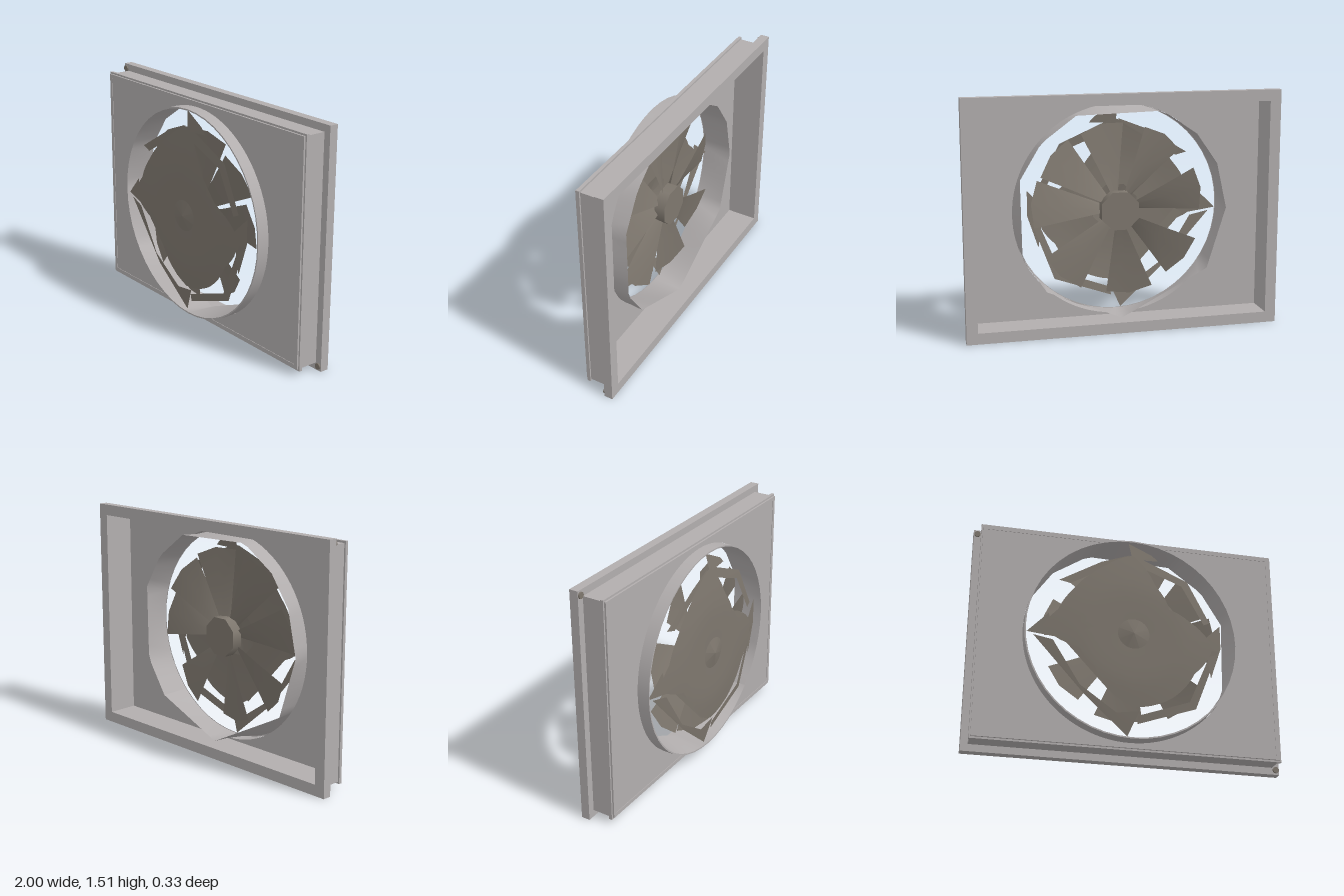
import * as THREE from 'three';

const CY = 0.755; // height of the fan axis
const frameGrey = new THREE.MeshStandardMaterial({ color: 0xb2aeae, side: THREE.DoubleSide });
frameGrey.name = 'frame grey';
const fanBrown = new THREE.MeshStandardMaterial({ color: 0x7e776e, side: THREE.DoubleSide });
fanBrown.name = 'fan brown grey';

const rad = (d) => (d * Math.PI) / 180;

function add(parent, name, geometry, material) {
  const mesh = new THREE.Mesh(geometry, material);
  mesh.name = name;
  parent.add(mesh);
  return mesh;
}

function rectPath(Type, w, h) {
  return new Type([[-w, -h], [w, -h], [w, h], [-w, h]].map(([x, y]) => new THREE.Vector2(x, y)));
}

// Rectangular frame with a rectangular opening, half sizes, from z0 to z1
function rectFrame(w, h, iw, ih, z0, z1) {
  const shape = rectPath(THREE.Shape, w, h);
  shape.holes.push(rectPath(THREE.Path, iw, ih));
  return new THREE.ExtrudeGeometry(shape, { depth: z1 - z0, bevelEnabled: false }).translate(0, 0, z0);
}

// Grid of points [row][column] turned into a surface
function surface(rows) {
  const n = rows[0].length;
  const index = [];
  for (let i = 0; i < rows.length - 1; i++) {
    for (let j = 0; j < n - 1; j++) {
      const a = i * n + j, b = a + n;
      index.push(a, b, b + 1, a, b + 1, a + 1);
    }
  }
  const g = new THREE.BufferGeometry();
  g.setAttribute('position', new THREE.Float32BufferAttribute(rows.flat(2), 3));
  g.setIndex(index);
  g.computeVertexNormals();
  return g;
}

// Linear interpolation in a table of [angle, radius]
function lookup(table, deg) {
  for (let i = 0; i < table.length - 1; i++) {
    const [a, r] = table[i], [b, s] = table[i + 1];
    if (deg >= a && deg <= b) return r + ((s - r) * (deg - a)) / (b - a);
  }
  return table[0][1];
}

// Dome depth, dished in around the hub
const domeZ = (r) => 0.162 - 0.128 * r * r - 0.016 * Math.max(0, 1 - r / 0.32);

// Duct liner: irregular polygon at the back blending to a circle in front
function ductLiner() {
  const corners = [-45, -22, 20, 42, 65, 112, 135, 155, 180, 215, 270, 315];
  const R = 0.67, steps = 72;
  const back = [], front = [];
  for (let i = 0; i <= steps; i++) {
    const d = -45 + (360 * i) / steps;
    let k = 0;
    while (k < corners.length - 2 && d > corners[k + 1]) k++;
    const half = rad(corners[k + 1] - corners[k]) / 2;
    const mid = rad(corners[k] + corners[k + 1]) / 2;
    const r = (0.682 * Math.cos(half)) / Math.cos(rad(d) - mid);
    back.push([r * Math.cos(rad(d)), r * Math.sin(rad(d)), -0.07]);
    front.push([R * Math.cos(rad(d)), R * Math.sin(rad(d)), 0.118]);
  }
  return surface([front, back]);
}

// Smooth guard sheet with an uneven, four-pointed rim
function guardSheet() {
  const rim = [[0, 0.50], [20, 0.38], [40, 0.30], [68, 0.38], [90, 0.57], [112, 0.50], [125, 0.48],
    [143, 0.47], [165, 0.49], [180, 0.57], [200, 0.36], [225, 0.34], [245, 0.40], [270, 0.48],
    [300, 0.47], [315, 0.46], [330, 0.45], [345, 0.49], [360, 0.50]];
  const rows = [];
  for (let i = 0; i <= 8; i++) {
    const row = [];
    for (let d = 0; d <= 360; d += 5) {
      const r = 0.1 + (lookup(rim, d) - 0.1) * (i / 8);
      row.push([r * Math.cos(rad(d)), r * Math.sin(rad(d)), domeZ(r)]);
    }
    rows.push(row);
  }
  return surface(rows);
}

// Flat sliver following the dome depth
function sliver(points) {
  const g = new THREE.ShapeGeometry(new THREE.Shape(points.map(([x, y]) => new THREE.Vector2(x, y))));
  const p = g.attributes.position;
  for (let i = 0; i < p.count; i++) p.setZ(i, domeZ(Math.hypot(p.getX(i), p.getY(i))) - 0.004);
  g.computeVertexNormals();
  return g;
}

// Wedge blade pitched about its own radius
function bladeGeometry() {
  const rows = [];
  for (const [r, half, lift] of [[0.09, 0.022, 0.02], [0.32, 0.085, 0.028], [0.56, 0.145, 0.03]]) {
    rows.push([-1, 0, 1].map((s) => [r - 0.03 * s * s * (r > 0.5 ? 1 : 0), s * half, s * lift]));
  }
  return surface(rows);
}

export function createModel() {
  const model = new THREE.Group();
  model.name = 'ventilationFan';
  const axis = new THREE.Group();
  axis.name = 'fanUnit';
  axis.position.y = CY;
  model.add(axis);

  // Hollow housing
  add(axis, 'backFlange', rectFrame(1, 0.755, 0.93, 0.685, -0.163, -0.107), frameGrey);
  add(axis, 'housingWalls', rectFrame(0.955, 0.71, 0.93, 0.685, -0.107, 0.045), frameGrey);
  add(axis, 'frontLip', rectFrame(0.965, 0.722, 0.95, 0.705, 0.014, 0.034), frameGrey);

  // Front plate with the round opening
  const plate = rectPath(THREE.Shape, 0.935, 0.69);
  plate.holes.push(new THREE.Path().absarc(0, 0, 0.677, 0, Math.PI * 2, true));
  add(axis, 'frontPlate', new THREE.ExtrudeGeometry(plate,
    { depth: 0.006, bevelEnabled: false, curveSegments: 48 }).translate(0, 0, 0.036), frameGrey);

  // Duct ring and its liner
  const ring = new THREE.CylinderGeometry(0.677, 0.677, 0.084, 48, 1, true).rotateX(Math.PI / 2).translate(0, 0, 0.078);
  add(axis, 'ductRing', ring, frameGrey);
  add(axis, 'ductRim', new THREE.RingGeometry(0.668, 0.677, 48).translate(0, 0, 0.12), frameGrey);
  add(axis, 'ductLiner', ductLiner(), frameGrey);

  // Corner screws on the flange
  for (const s of [-1, 1]) {
    const screw = add(axis, 'cornerScrew', new THREE.CylinderGeometry(0.02, 0.02, 0.012, 10), fanBrown);
    screw.rotation.x = Math.PI / 2;
    screw.position.set(s * 0.978, -s * 0.725, -0.103);
  }

  // Blades
  for (const deg of [6, 40, 79, 123, 168, 218, 262, 312]) {
    const blade = add(axis, 'blade', bladeGeometry(), fanBrown);
    blade.rotation.z = rad(deg);
    blade.position.z = 0.045;
  }

  // Hub behind and faceted cap in front
  add(axis, 'hub', new THREE.CylinderGeometry(0.13, 0.13, 0.07, 8)
    .rotateY(Math.PI / 8).rotateX(Math.PI / 2).translate(0, 0, 0.01), fanBrown);
  add(axis, 'hubCap', new THREE.ConeGeometry(0.155, 0.04, 8, 1, true)
    .rotateY(Math.PI / 8).rotateX(Math.PI / 2).translate(0, 0, 0.147 + 0.02), fanBrown).scale.z = 0.88;

  // Guard sheet with its spikes and thin outer strips
  add(axis, 'guardSheet', guardSheet(), fanBrown);
  const slivers = {
    topSpike: [[-0.02, 0.665], [0.13, 0.59], [0.17, 0.55], [0, 0.54]],
    leftSpike: [[-0.66, -0.03], [-0.53, 0.10], [-0.49, -0.06]],
    bottomSpike: [[-0.62, -0.05], [-0.30, -0.42], [-0.03, -0.66], [0.04, -0.50], [-0.10, -0.52], [-0.33, -0.36], [-0.50, -0.08]],
    rightSpike: [[0.50, -0.24], [0.46, 0.02], [0.57, 0.13], [0.57, -0.03]],
    upperRightStrip: [[0.02, 0.57], [0.36, 0.42], [0.50, 0.14], [0.46, 0.12], [0.32, 0.38], [0.02, 0.50]],
    upperInnerStrip: [[0.02, 0.38], [0.34, 0.02], [0.40, 0.04], [0.05, 0.42]],
    upperLeftStrip: [[-0.47, 0.34], [-0.20, 0.50], [-0.02, 0.57], [-0.03, 0.54], [-0.40, 0.32]],
    lowerRightStrip: [[0.03, -0.58], [0.40, -0.45], [0.55, -0.05], [0.51, -0.05], [0.36, -0.41], [0.03, -0.53]],
    lowerLeftStrip: [[-0.45, -0.06], [-0.10, -0.44], [-0.06, -0.40], [-0.40, -0.03]],
  };
  for (const [name, points] of Object.entries(slivers)) add(axis, name, sliver(points), fanBrown);

  return model;
}
